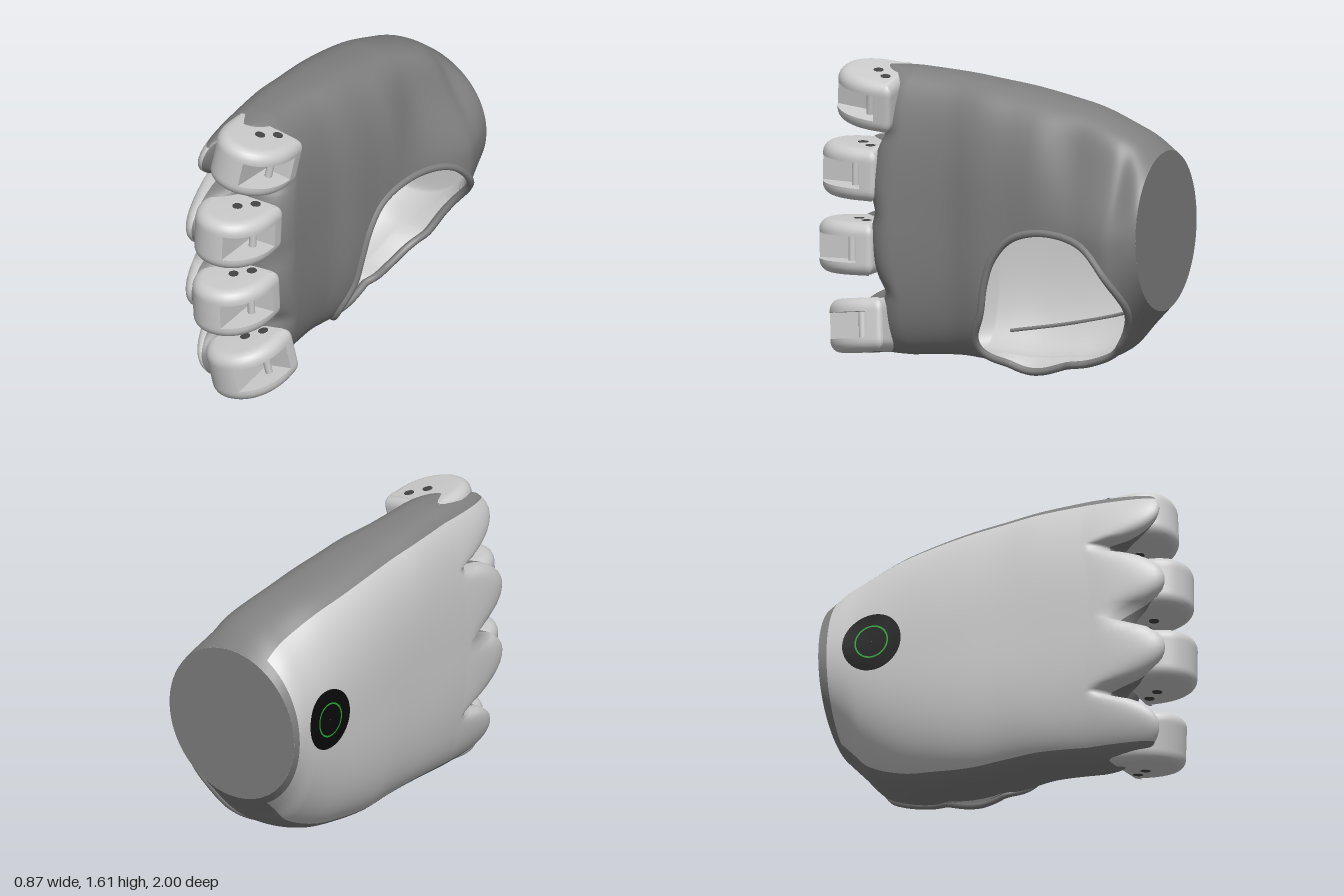
import * as THREE from 'three';
import { mergeGeometries, toCreasedNormals } from 'three/addons/utils/BufferGeometryUtils.js';

const mat = (color, side = THREE.FrontSide) => new THREE.MeshStandardMaterial({ color, side });
const smooth = THREE.MathUtils.smoothstep;

// Hand cross-sections: z, top, bottom, back x, palm x, squareness
const SECTIONS = [
  [-1, 1.25, 0.4, -0.43, 0.41, 2],
  [-0.9, 1.33, 0.29, -0.43, 0.42, 2.1],
  [-0.8, 1.38, 0.18, -0.43, 0.42, 2.2],
  [-0.6, 1.45, 0.09, -0.43, 0.34, 2.4],
  [-0.4, 1.49, 0.06, -0.43, 0.28, 2.6],
  [-0.2, 1.525, 0.045, -0.425, 0.235, 2.7],
  [0, 1.55, 0.06, -0.415, 0.205, 2.8],
  [0.2, 1.57, 0.07, -0.405, 0.15, 2.9],
  [0.6, 1.6, 0.04, -0.385, 0.13, 2.7],
];
const sectionCurve = [1, 2, 3, 4, 5].map(k => z => {
  let i = 0;
  while (i < SECTIONS.length - 2 && z > SECTIONS[i + 1][0]) i++;
  const a = SECTIONS[i], b = SECTIONS[i + 1];
  const t = THREE.MathUtils.clamp((z - a[0]) / (b[0] - a[0]), 0, 1), h = b[0] - a[0];
  const slope = n => {
    const p = SECTIONS[Math.max(n - 1, 0)], q = SECTIONS[Math.min(n + 1, SECTIONS.length - 1)];
    return (q[k] - p[k]) / (q[0] - p[0]) * h;
  };
  const t2 = t * t, t3 = t2 * t;
  return a[k] * (2 * t3 - 3 * t2 + 1) + slope(i) * (t3 - 2 * t2 + t)
    + b[k] * (3 * t2 - 2 * t3) + slope(i + 1) * (t3 - t2);
});
function section(z, inset = 0) {
  const [top, bottom, back, palm, n] = sectionCurve.map(f => f(z));
  return { xc: (back + palm) / 2, hw: (palm - back) / 2 - inset, yc: (top + bottom) / 2, hh: (top - bottom) / 2 - inset, n };
}
// x of the surface on the palm (side 1) or back (side -1) at a given y, z
function surfaceX(y, z, side, inset = 0) {
  const s = section(z, inset), t = Math.min(1, Math.abs(y - s.yc) / s.hh);
  // the palm flattens above the thumb mound
  const flat = side > 0 && y > s.yc ? 1.35 * t * t * (1 - t) * smooth(z, -1, -0.85) * (1 - smooth(z, -0.6, -0.3)) : 0;
  return s.xc + side * s.hw * Math.pow(1 - Math.pow(t, s.n), 1 / s.n) * (1 - flat);
}

// Thumb opening outline in z, y, laid on the palm surface with a lip below it
const OPENING = [[0.02, 0.13], [0.035, 0.2], [-0.02, 0.35], [-0.05, 0.5], [-0.1, 0.64], [-0.2, 0.755], [-0.35, 0.81],
  [-0.55, 0.81], [-0.7, 0.76], [-0.82, 0.63], [-0.905, 0.46], [-0.875, 0.33], [-0.77, 0.18], [-0.6, 0.1], [-0.45, 0.07],
  [-0.3, 0.025], [-0.21, 0.02], [-0.08, 0.06]];
const rim = new THREE.CatmullRomCurve3(OPENING.map(([z, y]) => new THREE.Vector3(0, y, z)), true)
  .getPoints(240).slice(0, -1).map(p => {
    const s = section(p.z);
    return new THREE.Vector3(surfaceX(Math.max(p.y, s.yc - s.hh * 0.993), p.z, 1), p.y, p.z);
  });
function inOpening(y, z) {
  let inside = false;
  for (let i = 0, j = rim.length - 1; i < rim.length; j = i++) {
    const a = rim[i], b = rim[j];
    if ((a.y > y) !== (b.y > y) && z < (b.z - a.z) * (y - a.y) / (b.y - a.y) + a.z) inside = !inside;
  }
  return inside;
}

// Loft with the opening cut out; rows are [z, closing angle]; pick() sorts each quad into a part
function loft(rows, M, inset, pick) {
  const pos = [], cut = [];
  for (const [z, phi] of rows) {
    const s = section(z, inset);
    for (let j = 0; j < M; j++) {
      const a = j / M * Math.PI * 2, c = Math.cos(a), sn = Math.sin(a);
      const y = s.yc + s.hh * Math.sign(sn) * Math.pow(Math.abs(sn), 2 / s.n);
      const x = s.xc + (surfaceX(y, z, c < 0 ? -1 : 1, inset) - s.xc) * Math.cos(phi);
      // rounded finger lobes on the back of the hand, with webs between
      const wave = Math.abs(Math.cos(Math.PI * (y - 0.2) / 0.417));
      const lobe = Math.sqrt(Math.max(0, wave - 0.2) / 0.8) * (0.03 + 0.25 * smooth(-c, 0, 0.4));
      const middle = 0.06 * Math.max(0, 1 - ((y - 0.82) / 0.45) ** 2) * smooth(z, 0.1, 0.46);
      const zz = z + middle + 0.15 * Math.sin(phi) + lobe * Math.sin(2 * phi);
      const hit = c > 0 && inOpening(y, zz);
      cut.push(hit);
      if (hit) {
        const d = q => (q.y - y) ** 2 + (q.z - zz) ** 2;
        const p = rim.reduce((m, q) => (d(q) < d(m) ? q : m));
        pos.push(p.x - 0.8 * inset, p.y, p.z);
      } else pos.push(x, y, zz);
    }
  }
  const parts = {}, all = [];
  for (let i = 0; i < rows.length - 1; i++) for (let j = 0; j < M; j++) {
    const k = (j + 1) % M, a = i * M + j, b = i * M + k, c = a + M, d = b + M;
    for (const t of [[a, b, c], [b, d, c]]) {
      if (t.every(v => cut[v])) continue;
      all.push(...t);
      (parts[pick(i, Math.cos((j + 0.5) / M * Math.PI * 2))] ??= []).push(...t);
    }
  }
  const base = new THREE.BufferGeometry();
  base.setAttribute('position', new THREE.Float32BufferAttribute(pos, 3));
  base.setIndex(all);
  base.computeVertexNormals();
  return Object.fromEntries(Object.entries(parts).map(([name, idx]) => {
    const g = base.clone();
    g.setIndex(idx);
    return [name, g];
  }));
}

// Knuckle: rounded cheeks above and below a middle layer notched for the slot
function knuckleGeometry() {
  const shape = new THREE.Shape();
  shape.moveTo(-0.17, 0).lineTo(0.18, 0).quadraticCurveTo(0.21, 0, 0.21, 0.04).lineTo(0.21, 0.1);
  shape.bezierCurveTo(0.21, 0.25, 0.12, 0.37, -0.01, 0.37);
  shape.bezierCurveTo(-0.13, 0.37, -0.2, 0.28, -0.2, 0.14);
  shape.lineTo(-0.2, 0.04).quadraticCurveTo(-0.2, 0, -0.17, 0);
  const pts = shape.getPoints(20);
  const notched = new THREE.Shape(pts.map(p => new THREE.Vector2(p.x, p.x > 0.05 ? Math.min(p.y, 0.09) : p.y)));
  const b = 0.06;
  const upper = new THREE.ExtrudeGeometry(new THREE.Shape(pts), {
    depth: 0.012, bevelEnabled: true, bevelThickness: b, bevelSize: b, bevelOffset: -b, bevelSegments: 6 });
  const p = upper.attributes.position;
  for (let i = 0; i < p.count; i++) p.setZ(i, Math.max(0, p.getZ(i)) + 0.07);
  // mirrored cheek, with its triangles turned back to face outward
  const lower = upper.clone().scale(1, 1, -1);
  const a = lower.attributes.position.array;
  for (let i = 0; i < a.length; i += 9) for (let k = 3; k < 6; k++) [a[i + k], a[i + k + 3]] = [a[i + k + 3], a[i + k]];
  const middle = new THREE.ExtrudeGeometry(notched, { depth: 0.14, bevelEnabled: false }).translate(0, 0, -0.07);
  return toCreasedNormals(mergeGeometries([upper, lower, middle]).rotateX(Math.PI / 2), 0.6);
}

export function createModel() {
  const model = new THREE.Group();
  const add = (name, geo, material, parent = model) => {
    const m = new THREE.Mesh(geo, material);
    m.name = name;
    parent.add(m);
    return m;
  };
  const dark = mat(0x808080, THREE.DoubleSide), light = mat(0xcccccc), thinLight = mat(0xcccccc, THREE.DoubleSide);

  // Palm shell and back plate
  const rows = [], body = 126, cap = 22;
  for (let i = 0; i <= body; i++) rows.push([-1 + 1.46 * i / body, 0]);
  for (let i = 1; i <= cap; i++) rows.push([0.46, i / cap * Math.PI / 2]);
  const shell = loft(rows, 180, 0, (i, c) => (c < -0.48 && i > 3 && i < body + 13 ? 'plate' : 'palm'));
  add('palmShell', shell.palm, dark);
  add('backPlate', shell.plate, thinLight);
  add('wristFace', new THREE.CircleGeometry(1, 64).rotateY(Math.PI).scale(0.42, 0.425, 1).translate(-0.01, 0.825, -1), dark);

  // Hollow inside of the thumb opening
  const inner = [[-1.1, Math.PI / 2]];
  for (let i = 0; i <= 80; i++) inner.push([-0.95 + 1.05 * i / 80, 0]);
  inner.push([0.1, Math.PI / 2]);
  add('thumbSocketLining', loft(inner, 160, 0.035, () => 'lining').lining, thinLight);
  const rimPath = new THREE.CatmullRomCurve3(rim.filter((_, i) => i % 4 === 0), true);
  add('thumbOpeningRim', new THREE.TubeGeometry(rimPath, 160, 0.02, 8, true), dark);
  const seam = [[0, 0.18], [-0.3, 0.23], [-0.6, 0.3], [-0.86, 0.39]].map(([z, y]) =>
    new THREE.Vector3(surfaceX(y, z, -1, 0.035), y, z));
  add('liningSeam', new THREE.TubeGeometry(new THREE.CatmullRomCurve3(seam), 30, 0.01, 6), dark);

  // Four knuckles: x, y, z, pitch, roll
  const knuckle = knuckleGeometry();
  const pin = new THREE.CylinderGeometry(0.02, 0.02, 0.16, 16);
  const hole = new THREE.CylinderGeometry(0.027, 0.027, 0.004, 20);
  const holeMaterial = mat(0x444444);
  [[-0.05, 1.42, 0.505, -0.1, -0.17], [-0.1, 1.025, 0.61, -0.02, -0.03],
    [-0.1, 0.62, 0.63, 0.02, 0.03], [-0.05, 0.215, 0.55, 0.1, 0.17]].forEach(([x, y, z, pitch, roll], i) => {
    const g = new THREE.Group();
    g.name = 'knuckle' + (i + 1);
    g.position.set(x, y, z);
    g.rotation.set(pitch, 0, roll);
    add('knuckleBody', knuckle, light, g);
    add('hingePin', pin, light, g).position.set(0.11, 0, 0.15);
    for (const side of [1, -1]) for (const [hx, hz] of [[0.08, 0.08], [0.01, 0.15]])
      add('pinHole', hole, holeMaterial, g).position.set(hx, side * 0.142, hz);
    model.add(g);
  });

  // Round button on the back plate, draped over its curve
  const drape = (name, r0, r1, lift, color) => {
    const g = new THREE.RingGeometry(r0, r1, 48, 6).rotateY(-Math.PI / 2);
    const p = g.attributes.position;
    for (let i = 0; i < p.count; i++) {
      const y = p.getY(i) + 0.86, z = p.getZ(i) - 0.7;
      p.setXYZ(i, surfaceX(y, z, -1) - lift, y, z);
    }
    g.computeVertexNormals();
    add(name, g, mat(color));
  };
  drape('button', 0.001, 0.165, 0.004, 0x0a0a0a);
  drape('buttonRing', 0.086, 0.095, 0.007, 0x22aa33);
  return model;
}
